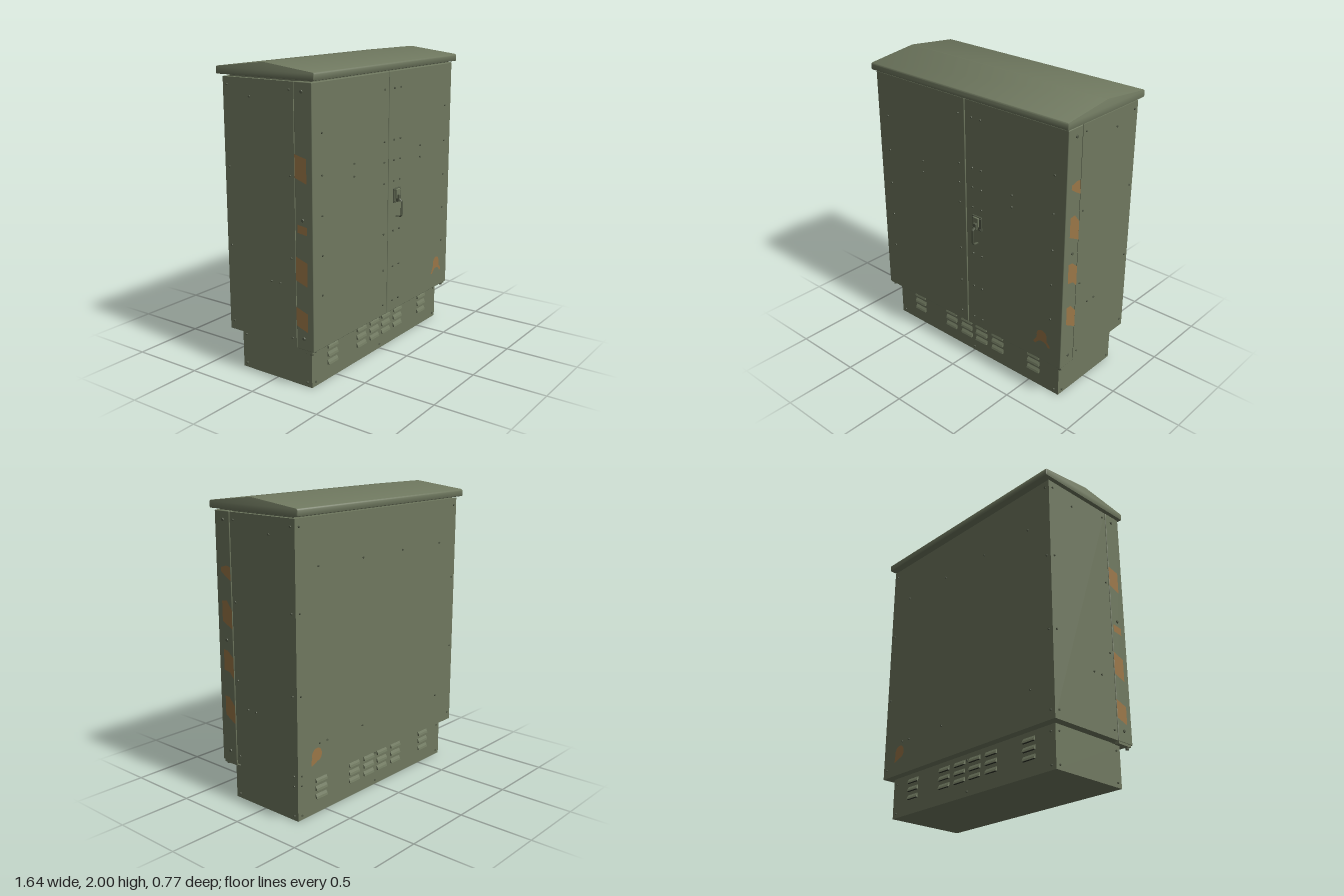
import * as THREE from 'three';
import { toCreasedNormals } from 'three/addons/utils/BufferGeometryUtils.js';
import { RoundedBoxGeometry } from 'three/addons/geometries/RoundedBoxGeometry.js';

const material = (name, color) => Object.assign(new THREE.MeshStandardMaterial({ color }), { name });

export function createModel() {
  const model = new THREE.Group();
  model.name = 'equipmentCabinet';
  const green = material('olive green paint', 0x6f785f);
  const metal = material('dark olive hardware', 0x545b48);
  const dark = material('seam shadow', 0x2b2f26);
  const rust = material('faded orange paint', 0x9a7647);

  const add = (name, geometry, mat, parent = model) => {
    const mesh = new THREE.Mesh(geometry, mat);
    mesh.name = name;
    parent.add(mesh);
    return mesh;
  };
  const group = (name) => {
    const g = new THREE.Group();
    g.name = name;
    model.add(g);
    return g;
  };
  // Box given by its limits, with optional rounded edges
  const box = (name, [x0, x1], [y0, y1], [z0, z1], mat, parent, r = 0) => {
    const s = [x1 - x0, y1 - y0, z1 - z0];
    const g = r ? new RoundedBoxGeometry(...s, 2, r) : new THREE.BoxGeometry(...s);
    g.translate((x0 + x1) / 2, (y0 + y1) / 2, (z0 + z1) / 2);
    return add(name, g, mat, parent);
  };

  // Plinth, body and neck below the roof
  box('plinth', [-0.75, 0.75], [0, 0.272], [-0.29, 0.275], green);
  box('body', [-0.803, 0.803], [0.272, 1.897], [-0.345, 0.2], green);
  box('neck', [-0.775, 0.775], [1.89, 1.915], [-0.315, 0.32], green);
  box('doorFrame', [-0.795, 0.795], [0.28, 1.89], [0.19, 0.32], dark);

  // Two doors that wrap round the front corners, with a foot at each hinge
  for (const s of [-1, 1]) {
    const side = s < 0 ? 'right' : 'left';
    const span = (a, b) => (s < 0 ? [-b, -a] : [a, b]);
    box(side + 'Door', span(0.002, 0.805), [0.27, 1.9], [0.204, 0.335], green, model, 0.005);
    box(side + 'HingeFoot', span(0.772, 0.803), [0.255, 0.272], [0.205, 0.32], green);
    const pin = add(side + 'HingePin', new THREE.CylinderGeometry(0.011, 0.011, 0.016, 10), metal);
    pin.position.set(s * 0.785, 0.25, 0.305);
  }

  // Gabled roof with softened rim
  const roof = new THREE.Shape();
  roof.moveTo(-0.378, 1.91);
  roof.lineTo(0.355, 1.91);
  roof.quadraticCurveTo(0.364, 1.91, 0.364, 1.92);
  roof.lineTo(0.364, 1.945);
  roof.quadraticCurveTo(0.364, 1.957, 0.352, 1.959);
  roof.lineTo(0.01, 1.999);
  roof.quadraticCurveTo(-0.005, 2.001, -0.02, 1.999);
  roof.lineTo(-0.373, 1.959);
  roof.quadraticCurveTo(-0.386, 1.957, -0.386, 1.945);
  roof.lineTo(-0.386, 1.92);
  roof.quadraticCurveTo(-0.386, 1.91, -0.378, 1.91);
  const roofGeometry = new THREE.ExtrudeGeometry(roof, {
    depth: 1.628, bevelThickness: 0.006, bevelSize: 0.006, bevelOffset: -0.006, bevelSegments: 2, curveSegments: 4,
  });
  roofGeometry.translate(0, 0, -0.814).rotateY(-Math.PI / 2);
  add('roof', toCreasedNormals(roofGeometry, 0.7), green);

  // Screws: u runs along the face, turn is the heading the face looks in
  const screws = group('screws');
  const screw = (u, y, offset, turn, r = 0.007) => {
    const g = new THREE.CylinderGeometry(r * 0.8, r, 0.007, 8);
    g.rotateX(Math.PI / 2).translate(u, y, offset + 0.003).rotateY(turn);
    add('screw', g, metal, screws);
  };
  const FRONT = 0, BACK = Math.PI, LEFT = Math.PI / 2, RIGHT = -Math.PI / 2;

  // Door screws
  for (const y of [1.79, 1.455, 1.32, 1.18, 0.84, 0.59, 0.345])
    for (const x of [-0.055, 0.06, 0.135]) screw(x, y, 0.335, FRONT);
  for (const s of [-1, 1]) {
    for (const y of [1.605, 1.355, 1.11, 0.865, 0.615]) screw(s * 0.715, y, 0.335, FRONT);
    for (const y of [1.37, 1.29]) screw(s * 0.39, y, 0.335, FRONT);
  }
  // Rear panel screws
  for (const y of [1.85, 1.345, 0.84, 0.33]) for (const x of [-0.77, 0.77]) screw(x, y, 0.345, BACK);
  for (const x of [0.61, 0.2, -0.2, -0.61]) screw(-x, 1.605, 0.345, BACK);
  for (const x of [0.61, 0.54, 0.2, -0.61]) screw(-x, 0.5, 0.345, BACK);
  // Side screws, the same on both sides
  for (const [turn, s] of [[LEFT, -1], [RIGHT, 1]]) {
    for (const y of [1.85, 1.345, 0.84, 0.33]) for (const z of [0.17, -0.312]) screw(s * z, y, 0.803, turn);
    for (const [z, y] of [[-0.135, 1.79], [0.08, 0.665], [0.01, 0.665]]) screw(s * z, y, 0.803, turn);
    for (const y of [1.845, 1.09, 0.345]) screw(s * 0.26, y, 0.805, turn, 0.011);
    for (const y of [0.23, 0.03]) for (const z of [0.24, -0.26]) screw(s * z, y, 0.75, turn);
  }
  // Plinth screws
  for (const x of [-0.715, 0, 0.715])
    for (const y of [0.23, 0.03]) {
      screw(x, y, 0.275, FRONT);
      screw(x, y, 0.29, BACK);
    }

  // Louvres: wedge hoods open at the bottom, three rows of six on front and back
  const louvres = group('louvres');
  const hood = new THREE.Shape([[0, 0], [0.014, 0], [0.01, 0.013], [0, 0.03]].map((p) => new THREE.Vector2(...p)));
  for (const [turn, offset] of [[FRONT, 0.275], [BACK, 0.29]])
    for (const x of [-0.54, -0.22, -0.07, 0.07, 0.22, 0.54])
      for (const y of [0.21, 0.155, 0.1]) {
        const g = new THREE.ExtrudeGeometry(hood, { depth: 0.1, bevelEnabled: false });
        g.translate(0, 0, -0.05).rotateY(-Math.PI / 2).translate(x, y, offset).rotateY(turn);
        add('louvre', g, green, louvres);
        const slot = new THREE.BoxGeometry(0.094, 0.002, 0.011);
        add('louvreSlot', slot.translate(x, y - 0.001, offset + 0.005).rotateY(turn), dark, louvres);
      }

  // Latch plate and swing handle
  const latch = group('doorLatch');
  box('latchPlate', [0.057, 0.14], [1.028, 1.128], [0.33, 0.342], metal, latch, 0.004);
  box('latchHousing', [0.076, 0.12], [1.055, 1.122], [0.34, 0.354], green, latch, 0.005);
  const lever = new THREE.CurvePath();
  const path = [[1.085, 0.35], [1.055, 0.362], [1.04, 0.38], [0.945, 0.38], [0.936, 0.373], [0.933, 0.337]]
    .map(([y, z]) => new THREE.Vector3(0.098, y, z));
  for (let i = 1; i < path.length; i++) lever.add(new THREE.LineCurve3(path[i - 1], path[i]));
  const leverGeometry = new THREE.TubeGeometry(lever, 40, 0.005, 8);
  leverGeometry.translate(-0.098, 0, 0).scale(2.2, 1, 1).translate(0.098, 0, 0);
  add('handle', leverGeometry, metal, latch).material = metal;
  box('leverPivot', [0.084, 0.112], [1.035, 1.085], [0.34, 0.366], metal, latch, 0.005);
  for (const x of [0.068, 0.129]) for (const y of [1.04, 1.117]) screw(x, y, 0.342, FRONT, 0.005);

  // Thin painted patches, drawn in face coordinates
  const patches = group('paintPatches');
  const paint = (name, shape, offset, turn) =>
    add(name, new THREE.ShapeGeometry(shape, 10).translate(0, 0, offset).rotateY(turn), rust, patches);
  const polygon = (points, s) => new THREE.Shape(points.map(([z, y]) => new THREE.Vector2(s * z, y)));

  const frontMark = new THREE.Shape();
  frontMark.moveTo(0.58, 0.388);
  frontMark.lineTo(0.6, 0.383);
  frontMark.quadraticCurveTo(0.625, 0.418, 0.65, 0.418);
  frontMark.quadraticCurveTo(0.685, 0.418, 0.7, 0.388);
  frontMark.lineTo(0.718, 0.388);
  frontMark.lineTo(0.718, 0.402);
  frontMark.lineTo(0.692, 0.43);
  frontMark.absarc(0.65, 0.46, 0.041, -0.3, Math.PI + 0.3, false);
  frontMark.lineTo(0.607, 0.43);
  paint('frontPatch', frontMark, 0.3365, FRONT);

  const backMark = new THREE.Shape();
  backMark.moveTo(-0.685, 0.365);
  backMark.lineTo(-0.66, 0.372);
  backMark.lineTo(-0.63, 0.388);
  backMark.absarc(-0.635, 0.43, 0.045, -1.2, Math.PI + 0.3, false);
  backMark.lineTo(-0.685, 0.395);
  paint('backPatch', backMark, 0.3465, BACK);

  for (const points of [
    [[0.292, 1.55], [0.245, 1.565], [0.21, 1.56], [0.205, 1.47], [0.25, 1.495], [0.292, 1.525]],
    [[0.292, 1.34], [0.25, 1.345], [0.205, 1.29], [0.205, 1.165], [0.292, 1.21]],
    [[0.292, 1.025], [0.255, 1.02], [0.205, 0.98], [0.205, 0.84], [0.24, 0.88], [0.292, 0.89]],
    [[0.292, 0.715], [0.255, 0.715], [0.205, 0.66], [0.205, 0.538], [0.292, 0.59]],
  ]) paint('leftSidePatch', polygon(points, -1), 0.8065, LEFT);
  for (const points of [
    [[0.205, 1.48], [0.292, 1.46], [0.292, 1.31], [0.205, 1.34]],
    [[0.22, 1.06], [0.292, 1.05], [0.292, 1], [0.22, 1.01]],
    [[0.205, 0.86], [0.292, 0.83], [0.292, 0.68], [0.205, 0.71]],
    [[0.205, 0.54], [0.292, 0.51], [0.292, 0.39], [0.205, 0.42]],
  ]) paint('rightSidePatch', polygon(points, 1), 0.8065, RIGHT);

  return model;
}
